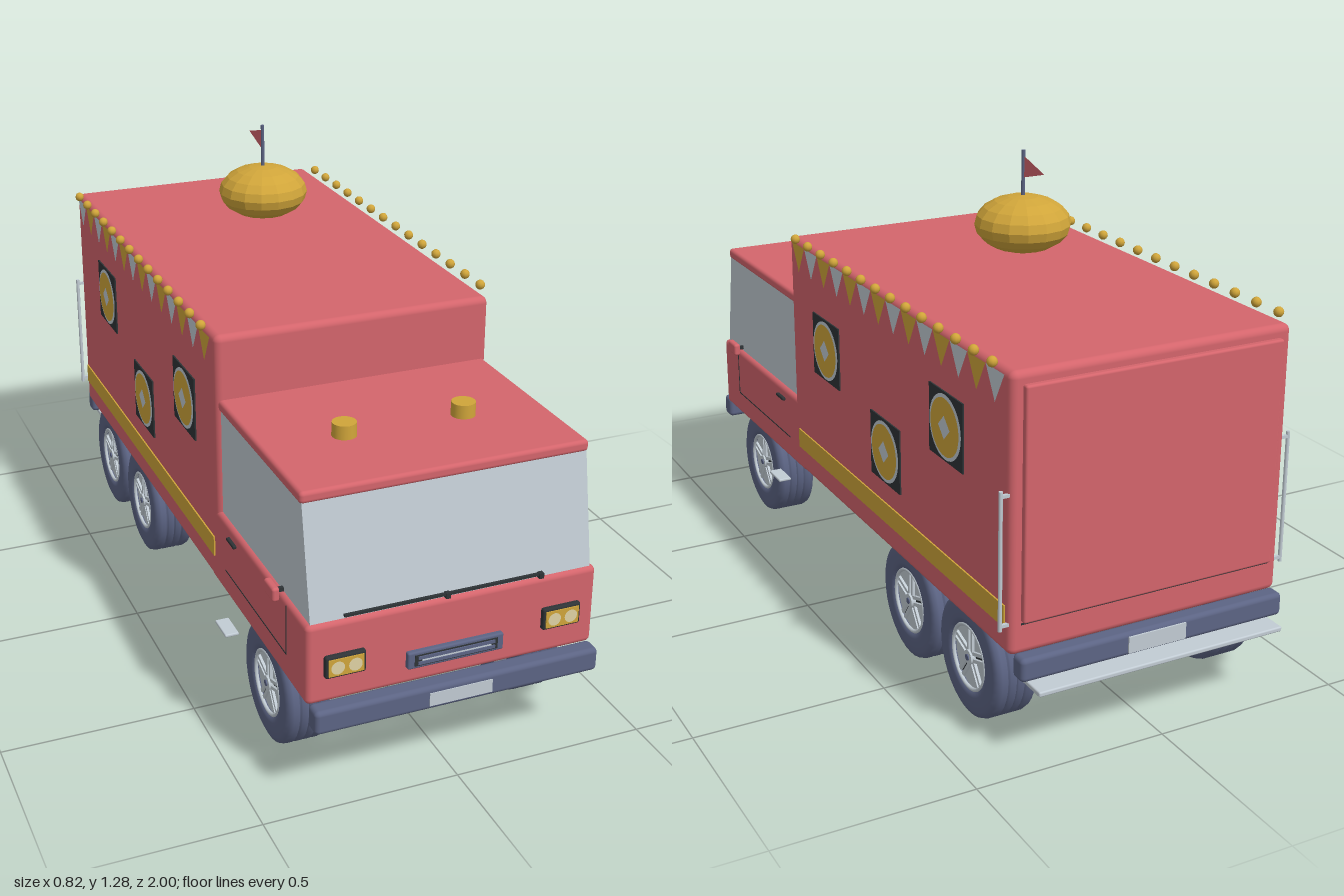
import * as THREE from 'three';
import { RoundedBoxGeometry } from 'three/addons/geometries/RoundedBoxGeometry.js';

function material(name, color, extra = {}) {
  const m = new THREE.MeshStandardMaterial({ color, ...extra });
  m.name = name;
  return m;
}

export function createModel() {
  const red = material('red paint', 0xd4656c);
  const redCloth = material('red cloth', 0xd4656c, { side: THREE.DoubleSide });
  const gold = material('gold', 0xd0a53a);
  const goldFacet = material('faceted gold', 0xd0a53a, { flatShading: true });
  const light = material('light grey', 0xc2ccd4);
  const navy = material('navy rubber', 0x5c6484);
  const black = material('black trim', 0x2e3336);
  const cream = material('cream lamp', 0xe0d3a4);

  const model = new THREE.Group();
  model.name = 'foodTruck';

  function add(name, geometry, mat, x = 0, y = 0, z = 0, parent = model) {
    const mesh = new THREE.Mesh(geometry, mat);
    mesh.name = name;
    mesh.position.set(x, y, z);
    parent.add(mesh);
    return mesh;
  }
  // box given by its extents; r rounds the edges
  function box(name, mat, [x0, x1], [y0, y1], [z0, z1], r = 0, parent = model) {
    const w = x1 - x0, h = y1 - y0, d = z1 - z0;
    const g = r ? new RoundedBoxGeometry(w, h, d, 3, r) : new THREE.BoxGeometry(w, h, d);
    return add(name, g, mat, (x0 + x1) / 2, (y0 + y1) / 2, (z0 + z1) / 2, parent);
  }

  // Body
  box('cargoBody', red, [-0.375, 0.375], [0.265, 0.955], [-0.92, 0.36], 0.018);
  box('cabBody', red, [-0.375, 0.375], [0.265, 0.475], [0.3, 0.955], 0.014);
  box('cabRoof', red, [-0.367, 0.367], [0.755, 0.785], [0.34, 0.897], 0.01);
  box('rearDoor', red, [-0.345, 0.345], [0.35, 0.925], [-0.935, -0.9], 0.006);
  box('rearDoorSeam', black, [-0.345, 0.345], [0.343, 0.347], [-0.922, -0.91]);

  // Cab glass: side profile (z, y) swept across the width
  const profile = new THREE.Shape([[0.35, 0.465], [0.947, 0.465], [0.893, 0.762], [0.35, 0.762]]
    .map(([z, y]) => new THREE.Vector2(z, y)));
  const glass = new THREE.ExtrudeGeometry(profile, { depth: 0.724, bevelEnabled: false });
  glass.translate(0, 0, -0.362).rotateY(-Math.PI / 2);
  add('cabGlass', glass, light);

  // Wipers
  box('wiperBlade', black, [-0.28, 0.23], [0.481, 0.487], [0.946, 0.954]);
  for (const x of [-0.02, 0.225]) box('wiperPivot', black, [x - 0.006, x + 0.006], [0.474, 0.488], [0.944, 0.957]);

  // Bumpers, number plates and rear step
  box('frontBumper', navy, [-0.37, 0.37], [0.21, 0.272], [0.95, 1.0], 0.012);
  box('frontPlate', light, [-0.082, 0.082], [0.222, 0.257], [0.996, 1.002]);
  box('rearBumper', navy, [-0.365, 0.365], [0.215, 0.275], [-0.962, -0.915], 0.012);
  box('rearPlate', light, [-0.08, 0.08], [0.224, 0.266], [-0.966, -0.96]);
  box('rearStep', light, [-0.34, 0.34], [0.194, 0.207], [-1.0, -0.905], 0.004);

  // Grille
  box('grilleFrame', navy, [-0.125, 0.125], [0.31, 0.355], [0.94, 0.968], 0.005);
  box('grilleInset', black, [-0.108, 0.108], [0.318, 0.347], [0.96, 0.97]);
  for (const y of [0.322, 0.336]) box('grilleBar', navy, [-0.1, 0.1], [y, y + 0.008], [0.965, 0.973]);
  box('grilleTrim', light, [-0.09, 0.09], [0.331, 0.335], [0.965, 0.972]);

  // Wheel: grooved tyre with five paired spokes, built along x with the outside at +x
  const tyreProfile = [
    [0.084, -0.052], [0.1, -0.057], [0.135, -0.057], [0.149, -0.051], [0.153, -0.04],
    [0.153, -0.026], [0.146, -0.025], [0.146, -0.019], [0.153, -0.018], [0.153, -0.003],
    [0.146, -0.002], [0.146, 0.002], [0.153, 0.003], [0.153, 0.018], [0.146, 0.019],
    [0.146, 0.025], [0.153, 0.026], [0.153, 0.04], [0.149, 0.051], [0.135, 0.057],
    [0.1, 0.057], [0.084, 0.052], [0.084, 0.03],
  ].map(([r, h]) => new THREE.Vector2(r, h));
  const tyre = new THREE.LatheGeometry(tyreProfile, 36).rotateZ(-Math.PI / 2);
  const disc = new THREE.CylinderGeometry(0.086, 0.086, 0.094, 32).rotateZ(-Math.PI / 2);
  const ring = new THREE.TorusGeometry(0.082, 0.005, 8, 36).rotateY(Math.PI / 2);
  const hub = new THREE.CylinderGeometry(0.018, 0.02, 0.012, 16).rotateZ(-Math.PI / 2);
  const cap = new THREE.CylinderGeometry(0.008, 0.008, 0.004, 12).rotateZ(-Math.PI / 2);
  const spoke = new THREE.BoxGeometry(0.008, 0.066, 0.009);
  const slot = new THREE.BoxGeometry(0.004, 0.052, 0.005);

  function wheel(side, z) {
    const g = new THREE.Group();
    g.name = 'wheel';
    g.position.set(side * 0.313, 0.157, z);
    if (side < 0) g.rotation.y = Math.PI;
    add('tyre', tyre, navy, 0, 0, 0, g);
    add('rimDisc', disc, light, -0.005, 0, 0, g);
    add('rimRing', ring, light, 0.05, 0, 0, g);
    add('hub', hub, light, 0.048, 0, 0, g);
    add('hubCap', cap, navy, 0.055, 0, 0, g);
    for (let i = 0; i < 5; i++) {
      const arm = new THREE.Group();
      arm.name = 'spokePair';
      arm.rotation.x = (i * Math.PI * 2) / 5;
      for (const s of [-1, 1]) add('spoke', spoke, light, 0.045, 0.047, s * 0.009, arm);
      add('spokeSlot', slot, black, 0.042, 0.05, 0, arm);
      g.add(arm);
    }
    model.add(g);
  }

  // Flat decorations facing sideways
  const pennantShape = new THREE.Shape([[-0.043, 0], [0, -0.077], [0.043, 0]]
    .map(([x, y]) => new THREE.Vector2(x, y)));
  const pennant = new THREE.ShapeGeometry(pennantShape);
  const whiteDisc = new THREE.CircleGeometry(0.082, 32);
  const goldDisc = new THREE.CircleGeometry(0.073, 32);
  const diamond = new THREE.CircleGeometry(0.03, 4);
  const bulb = new THREE.SphereGeometry(0.013, 10, 8);

  for (const s of [-1, 1]) {
    const across = (a, b) => (s > 0 ? [a, b] : [-b, -a]);
    const decal = (name, geo, mat, x, y, z) => {
      add(name, geo, mat, s * x, y, z).rotation.y = (s * Math.PI) / 2;
    };
    for (const z of [0.675, -0.37, -0.7]) wheel(s, z);

    // Stripe, posters, bunting and bulbs
    box('goldStripe', gold, across(0.372, 0.379), [0.335, 0.39], [-0.9, 0.33]);
    for (const [z, y] of [[0.11, 0.692], [-0.265, 0.535], [-0.61, 0.723]]) {
      box('posterBoard', black, across(0.372, 0.379), [y - 0.087, y + 0.087], [z - 0.087, z + 0.087]);
      decal('posterRing', whiteDisc, light, 0.3805, y, z);
      decal('posterDisc', goldDisc, gold, 0.382, y, z);
      decal('posterDiamond', diamond, light, 0.3835, y, z);
    }
    for (let i = 0; i < 14; i++) {
      const z = 0.288 - i * 0.0877;
      decal('pennant', pennant, i % 2 ? light : gold, 0.379, 0.945, z);
      add('bulb', bulb, gold, s * 0.386, 0.963, z);
    }

    // Rear grab rail
    add('grabRail', new THREE.CylinderGeometry(0.005, 0.005, 0.345, 10), light, s * 0.393, 0.505, -0.908);
    for (const y of [0.345, 0.665]) box('railMount', light, across(0.37, 0.395), [y - 0.004, y + 0.004], [-0.912, -0.904]);

    // Cab door: seams, handle, mirror and step
    box('doorSeam', black, across(0.373, 0.3762), [0.333, 0.336], [0.41, 0.833]);
    box('doorSeam', black, across(0.373, 0.3762), [0.333, 0.465], [0.83, 0.833]);
    box('doorHandle', black, across(0.373, 0.384), [0.438, 0.447], [0.44, 0.493], 0.003);
    box('mirrorArm', black, across(0.37, 0.395), [0.488, 0.498], [0.795, 0.805]);
    box('mirror', red, across(0.389, 0.408), [0.478, 0.514], [0.77, 0.83], 0.007);
    box('sideStep', light, across(0.374, 0.411), [0.193, 0.201], [0.42, 0.5], 0.003);

    // Headlight
    box('headlightFrame', black, across(0.23, 0.332), [0.334, 0.392], [0.94, 0.967], 0.006);
    box('headlightPlate', gold, across(0.237, 0.325), [0.341, 0.385], [0.96, 0.97]);
    for (const x of [0.259, 0.303]) add('headlightLamp', new THREE.CircleGeometry(0.017, 20), cream, s * x, 0.363, 0.9715);

    // Roof beacon
    add('beacon', new THREE.CylinderGeometry(0.03, 0.031, 0.04, 20), gold, s * 0.157, 0.8, 0.655);
  }

  // Floating roof ornament with pole and flag
  const ornament = new THREE.SphereGeometry(1, 16, 10).scale(0.123, 0.073, 0.123);
  add('roofOrnament', ornament, goldFacet, 0, 1.098, -0.295);
  add('flagPole', new THREE.CylinderGeometry(0.005, 0.005, 0.14, 8), navy, 0, 1.215, -0.295);
  const flagShape = new THREE.Shape([[0, -0.027], [0.1, 0], [0, 0.027]].map(([x, y]) => new THREE.Vector2(x, y)));
  add('flag', new THREE.ShapeGeometry(flagShape), redCloth, 0, 1.243, -0.3).rotation.y = Math.PI / 2;

  return model;
}
